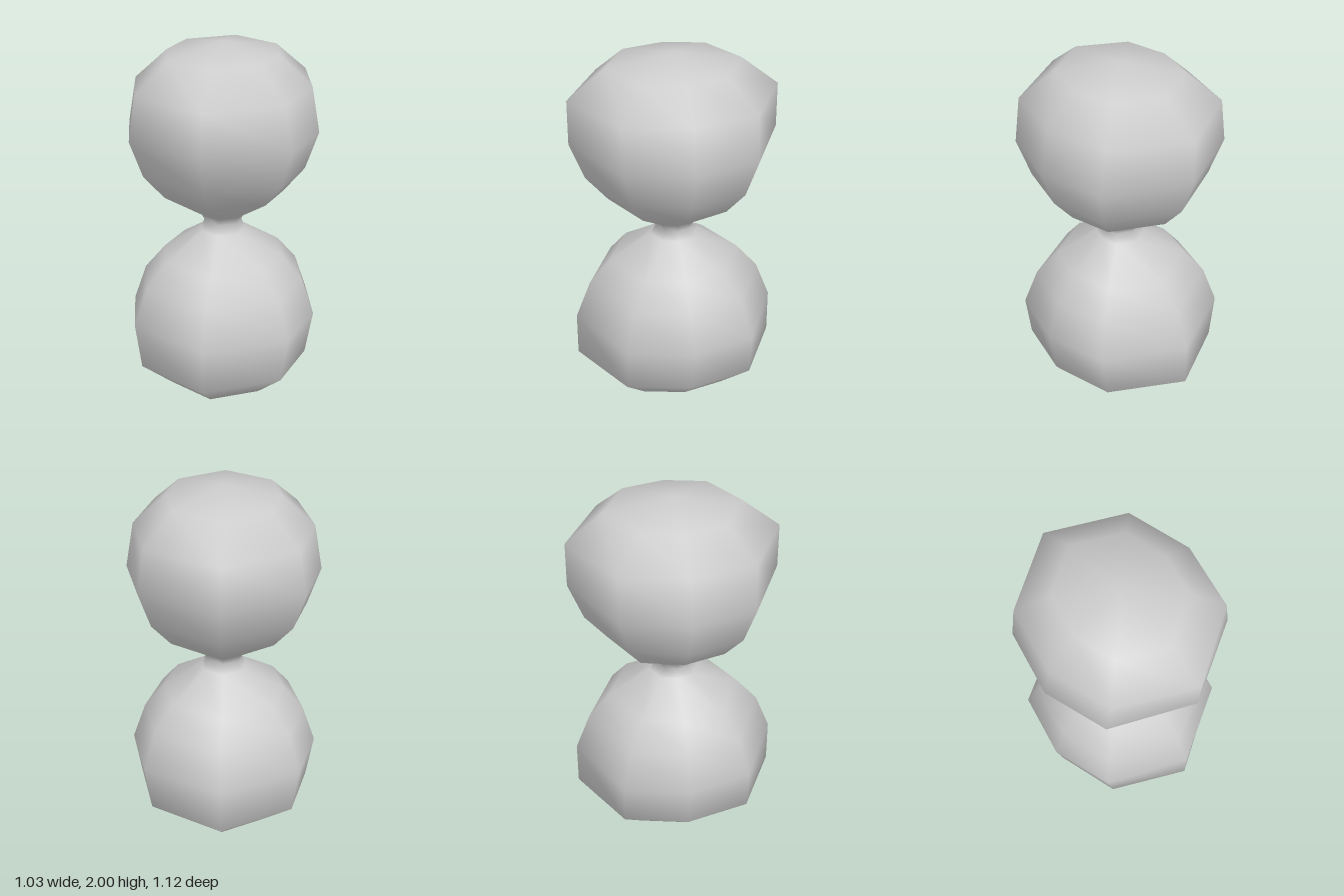
import * as THREE from 'three';

// Upper half profile from the waist to the crown: [y, half width in x, half depth in z]
const PROFILE = [
  [1.0, 0.1, 0.1],
  [1.048, 0.12, 0.135],
  [1.19, 0.33, 0.36],
  [1.33, 0.445, 0.48],
  [1.535, 0.515, 0.56],
  [1.78, 0.473, 0.56],
  [1.94, 0.3, 0.36],
];

// Eight-sided ring, as fractions of the half width and half depth
const RING = [[1, 0], [0.82, 0.62], [0, 1], [-0.82, 0.62], [-1, 0], [-0.82, -0.62], [0, -1], [0.82, -0.62]];

function bulbGeometry() {
  // Mirror the profile below the waist
  const lower = PROFILE.slice(1).reverse().map(([y, x, z]) => [2 - y, x, z]);
  const rings = [...lower, ...PROFILE];
  const n = RING.length;
  const positions = [0, 0, 0];
  for (const [y, x, z] of rings) {
    for (const [u, v] of RING) positions.push(x * u, y, z * v);
  }
  positions.push(0, 2, 0);
  const top = positions.length / 3 - 1;
  const at = (r, i) => 1 + r * n + (i % n);

  const index = [];
  for (let i = 0; i < n; i++) {
    // Bottom and top caps
    index.push(0, at(0, i), at(0, i + 1));
    index.push(top, at(rings.length - 1, i + 1), at(rings.length - 1, i));
    // Side bands
    for (let r = 0; r < rings.length - 1; r++) {
      const a = at(r, i), b = at(r, i + 1), c = at(r + 1, i + 1), d = at(r + 1, i);
      index.push(a, d, c, a, c, b);
    }
  }
  const geometry = new THREE.BufferGeometry();
  geometry.setAttribute('position', new THREE.Float32BufferAttribute(positions, 3));
  geometry.setIndex(index);
  geometry.computeVertexNormals();
  return geometry;
}

export function createModel() {
  const grey = new THREE.MeshStandardMaterial({ color: 0xcccccc });
  grey.name = 'light grey';

  // Two bulbs joined by a narrow neck
  const body = new THREE.Mesh(bulbGeometry(), grey);
  body.name = 'hourglassBulbs';

  const group = new THREE.Group();
  group.name = 'hourglass';
  group.add(body);
  return group;
}
